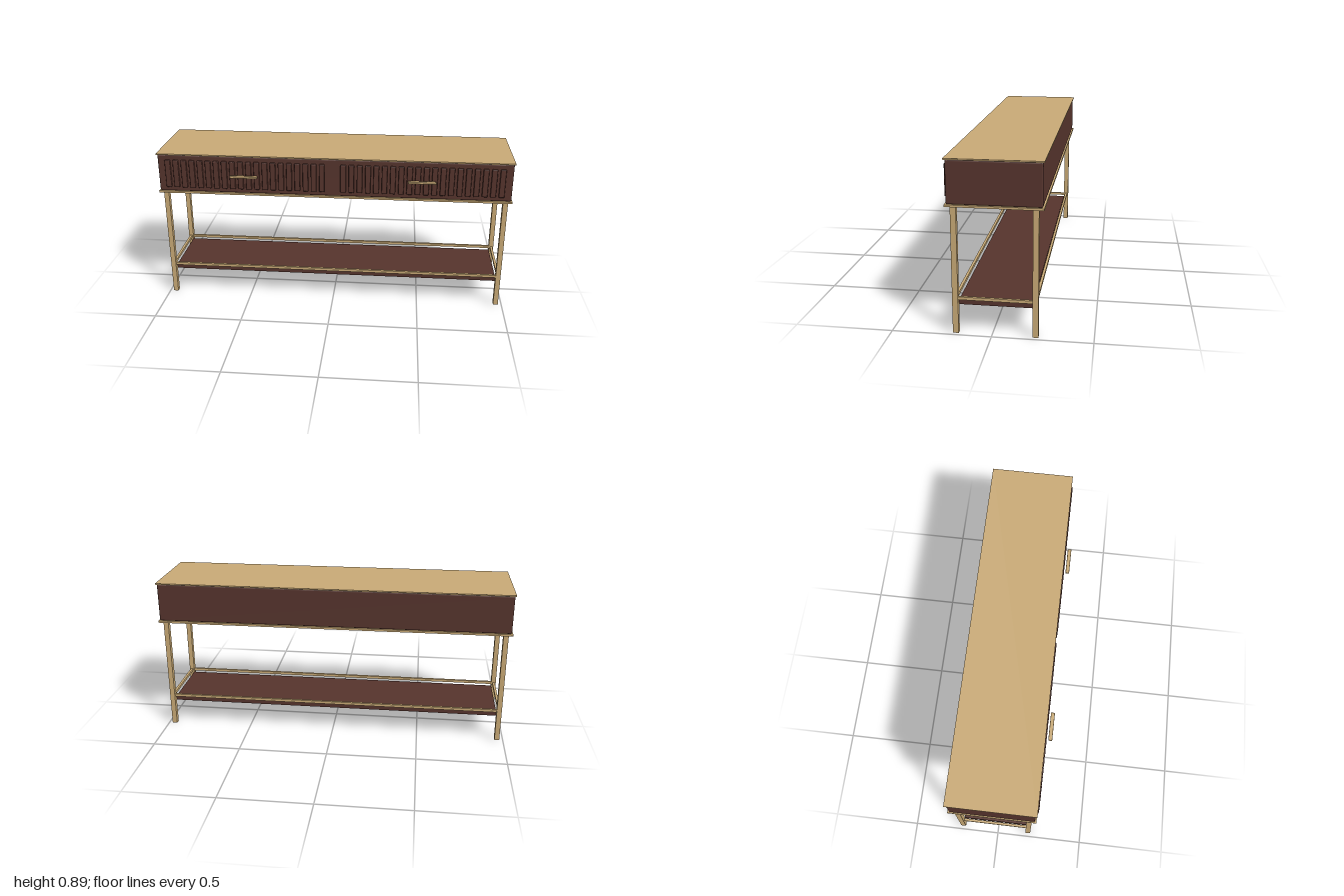
import * as THREE from 'three';
import { RoundedBoxGeometry } from 'three/addons/geometries/RoundedBoxGeometry.js';

const gold = new THREE.MeshStandardMaterial({ color: 0xc9aa76 });
gold.name = 'brushed gold';
const walnut = new THREE.MeshStandardMaterial({ color: 0x56342d });
walnut.name = 'dark walnut';

// Box given by its [min, max] range on each axis; optional rounded edges
function block(parent, name, material, [x0, x1], [y0, y1], [z0, z1], radius = 0) {
  const size = [x1 - x0, y1 - y0, z1 - z0];
  const geometry = radius
    ? new RoundedBoxGeometry(...size, 3, radius)
    : new THREE.BoxGeometry(...size);
  const mesh = new THREE.Mesh(geometry, material);
  mesh.name = name;
  mesh.position.set((x0 + x1) / 2, (y0 + y1) / 2, (z0 + z1) / 2);
  parent.add(mesh);
  return mesh;
}

export function createModel() {
  const table = new THREE.Group();
  table.name = 'consoleTable';

  // Cabinet between two thin metal plates
  block(table, 'topPlate', gold, [-1, 1], [0.882, 0.889], [-0.255, 0.22]);
  block(table, 'cabinet', walnut, [-0.994, 0.994], [0.666, 0.882], [-0.248, 0.213], 0.008);
  block(table, 'bottomPlate', gold, [-1, 1], [0.655, 0.666], [-0.255, 0.22]);

  // Two drawer fronts with vertical slats and a bar handle
  const slats = 20, slatWidth = 0.031, span = 0.908;
  const pitch = (span - slatWidth) / (slats - 1);
  for (const side of [-1, 1]) {
    const drawer = new THREE.Group();
    drawer.name = side < 0 ? 'rightDrawer' : 'leftDrawer';
    drawer.position.x = side * 0.498;
    for (let i = 0; i < slats; i++) {
      const x = -span / 2 + i * pitch;
      block(drawer, 'slat', walnut, [x, x + slatWidth], [0.692, 0.854], [0.207, 0.2265], 0.005);
    }
    block(drawer, 'handle', gold, [-0.077, 0.077], [0.769, 0.78], [0.236, 0.257], 0.002);
    table.add(drawer);
  }

  // Square legs and the side rails joining them
  for (const side of [-1, 1]) {
    const legX = side < 0 ? [-0.98, -0.952] : [0.952, 0.98];
    block(table, 'frontLeg', gold, legX, [0, 0.655], [0.167, 0.196]);
    block(table, 'backLeg', gold, legX, [0, 0.655], [-0.229, -0.2]);
    const c = side * 0.966;
    block(table, 'sideRail', gold, [c - 0.007, c + 0.007], [0.175, 0.19], [-0.2, 0.167]);
  }

  // Long rails and the lower shelf
  for (const [name, z] of [['frontRail', 0.1815], ['backRail', -0.2145]]) {
    block(table, name, gold, [-0.952, 0.952], [0.175, 0.19], [z - 0.007, z + 0.007]);
  }
  block(table, 'lowerShelf', walnut, [-0.952, 0.952], [0.143, 0.168], [-0.2, 0.167]);

  return table;
}
